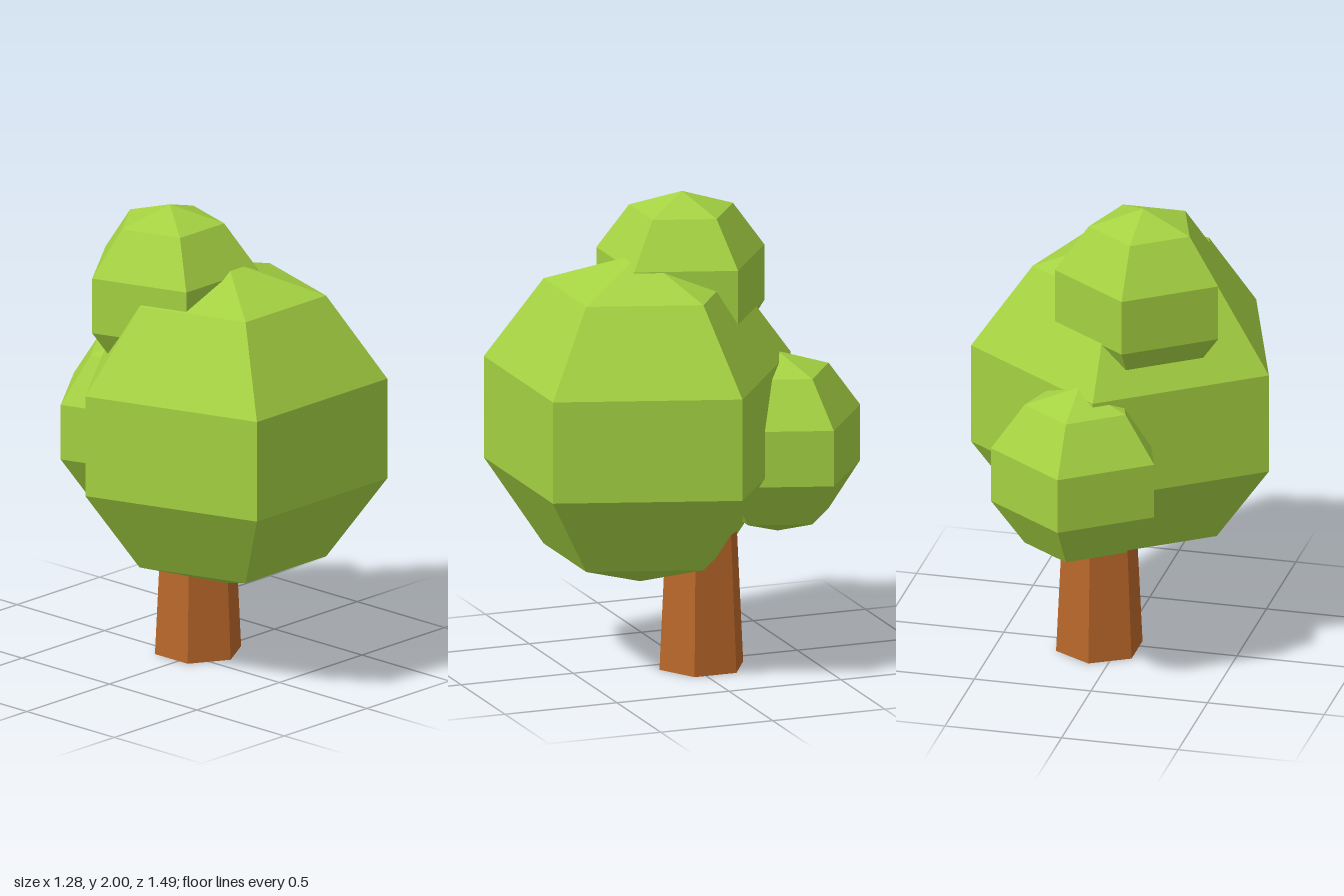
import * as THREE from 'three';

export function createModel() {
  const tree = new THREE.Group();
  tree.name = 'tree';

  const leafMaterial = new THREE.MeshStandardMaterial({ color: 0xa5d242, flatShading: true });
  const barkMaterial = new THREE.MeshStandardMaterial({ color: 0xb8672a, flatShading: true });

  // Tapered six-sided trunk, its top hidden inside the crown
  const height = 1;
  const trunk = new THREE.Mesh(new THREE.CylinderGeometry(0.138, 0.187, height, 6), barkMaterial);
  trunk.name = 'trunk';
  trunk.position.set(0.08, height / 2, -0.041);
  tree.add(trunk);

  // Five-sided leaf clumps, each with one corner pointing to the back
  const addClump = (name, radius, x, y, z) => {
    const geometry = new THREE.SphereGeometry(radius, 5, 5).rotateY(-Math.PI / 2);
    const clump = new THREE.Mesh(geometry, leafMaterial);
    clump.name = name;
    clump.position.set(x, y, z);
    tree.add(clump);
  };
  addClump('mainFoliage', 0.706, 0, 1.073, 0.201);
  addClump('topFoliage', 0.387, -0.105, 1.613, -0.027);
  addClump('backFoliage', 0.387, 0.08, 0.935, -0.382);

  return tree;
}
